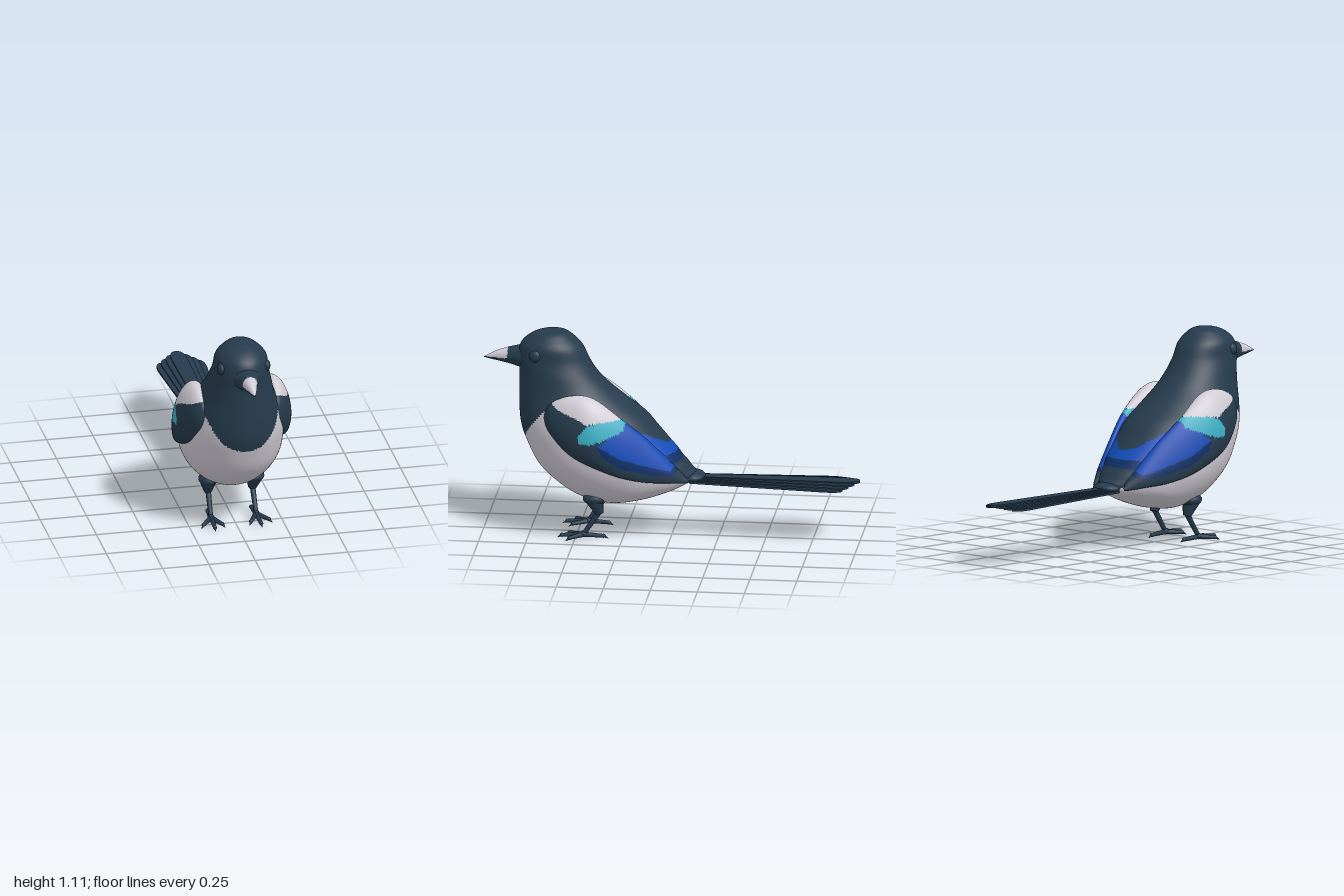
import * as THREE from 'three';

const mat = (name, color, side = THREE.FrontSide) => {
  const m = new THREE.MeshStandardMaterial({ color, side });
  m.name = name;
  return m;
};
const V = (x, y, z) => new THREE.Vector3(x, y, z);

// Smooth skin through elliptical sections [centre, axisA, axisB]
function loft(sections, rings, sides) {
  const tracks = [0, 1, 2].map(k => new THREE.CatmullRomCurve3(sections.map(s => s[k]), false, 'catmullrom', 0.5));
  const pos = [], idx = [];
  for (let i = 0; i <= rings; i++) {
    const [c, a, b] = tracks.map(t => t.getPoint(i / rings));
    for (let j = 0; j < sides; j++) {
      const w = j / sides * Math.PI * 2;
      pos.push(...c.clone().addScaledVector(a, Math.cos(w)).addScaledVector(b, Math.sin(w)).toArray());
    }
  }
  for (let i = 0; i < rings; i++) for (let j = 0; j < sides; j++) {
    const k = (j + 1) % sides, p = i * sides, q = p + sides;
    idx.push(p + j, q + j, q + k, p + j, q + k, p + k);
  }
  // turn the faces outward whichever way the sections run
  let volume = 0;
  const at = n => V(pos[n * 3], pos[n * 3 + 1], pos[n * 3 + 2]);
  for (let f = 0; f < idx.length; f += 3) volume += at(idx[f]).dot(at(idx[f + 1]).cross(at(idx[f + 2])));
  if (volume < 0) for (let f = 0; f < idx.length; f += 3) [idx[f], idx[f + 1]] = [idx[f + 1], idx[f]];
  const g = new THREE.BufferGeometry();
  g.setAttribute('position', new THREE.Float32BufferAttribute(pos, 3));
  g.setIndex(idx);
  g.computeVertexNormals();
  return g;
}

// Sort faces into material groups by the position of their middle
function paint(g, count, rule) {
  const p = g.attributes.position, old = g.index.array, buckets = Array.from({ length: count }, () => []);
  for (let f = 0; f < old.length; f += 3) {
    const m = V(0, 0, 0);
    for (let k = 0; k < 3; k++) m.add(V(0, 0, 0).fromBufferAttribute(p, old[f + k]));
    m.divideScalar(3);
    buckets[rule(m)].push(old[f], old[f + 1], old[f + 2]);
  }
  let start = 0;
  buckets.forEach((b, i) => { g.addGroup(start, b.length, i); start += b.length; });
  g.setIndex(buckets.flat());
  return g;
}

function inside(poly, z, y) {
  let hit = false;
  poly.forEach(([az, ay], i) => {
    const [bz, by] = poly[(i + 1) % poly.length];
    if ((ay > y) !== (by > y) && z < (bz - az) * (y - ay) / (by - ay) + az) hit = !hit;
  });
  return hit;
}

export function createModel() {
  const model = new THREE.Group();
  model.name = 'bird';
  const dark = mat('dark plumage', 0x263b4d), white = mat('white plumage', 0xd0ccd6);
  const blue = mat('bright blue', 0x124cb8), navy = mat('navy blue', 0x0e3068), teal = mat('teal', 0x3bb0c6);
  const paints = [dark, white, blue, navy, teal];
  const add = (name, geo, material, parent = model) => {
    const m = new THREE.Mesh(geo, material);
    m.name = name;
    parent.add(m);
    return m;
  };

  // Body and head: front z,y, back z,y, half width, from crown to rump
  const body = [
    [.63, 1.115, .63, 1.115, .001], [.69, 1.108, .57, 1.108, .055], [.75, 1.085, .53, 1.085, .095],
    [.80, 1.04, .475, 1.03, .135], [.82, .97, .435, .95, .147], [.81, .90, .39, .88, .165],
    [.81, .80, .32, .81, .188], [.81, .70, .22, .73, .225], [.80, .60, .13, .66, .255],
    [.77, .51, .07, .59, .268], [.71, .39, .01, .52, .27], [.61, .29, -.03, .475, .258],
    [.49, .215, -.06, .435, .23], [.34, .178, -.085, .41, .195], [.18, .195, -.105, .385, .15],
    [.03, .24, -.125, .365, .10], [-.07, .285, -.135, .35, .06], [-.14, .325, -.14, .325, .001],
  ].map(([fz, fy, bz, by, w]) => [V(0, (fy + by) / 2, (fz + bz) / 2), V(0, (fy - by) / 2, (fz - bz) / 2), V(w, 0, 0)]);
  add('body', paint(loft(body, 136, 112), 4, ({ x, y, z }) => {
    const x2 = x * x;
    if (z > .5) return y > Math.min(.77, .535 + 2.2 * x2 + 60 * x2 * x2) ? 0 : 1; // bib
    if (y < .33 + (z + .1) * .47) return 1; // belly
    if (z < .01 + 6 * x2 && z > -.03 + 3 * x2) return 2; // rump band
    if (z <= -.03 + 3 * x2 && z > -.06 + 3 * x2) return 3;
    return 0;
  }), paints);

  // Beak with a pale upper tip: z, centre y, half height, half width
  const beak = [
    [.75, .965, .07, .10], [.81, .962, .058, .066], [.86, .963, .046, .043],
    [.92, .96, .03, .027], [.97, .953, .013, .012], [1, .948, .001, .001],
  ].map(([z, y, h, w]) => [V(0, y, z), V(0, h, 0), V(w, 0, 0)]);
  add('beak', paint(loft(beak, 40, 32), 2, ({ y, z }) => (z > .87 && y > .952 ? 1 : 0)), paints);

  // Wing patches outlined in z,y
  const whitePatch = [[.62, .77], [.57, .74], [.48, .71], [.42, .68], [.33, .69], [.25, .67], [.25, .74], [.42, .85], [.62, .85]];
  const tealPatch = [[.47, .62], [.46, .58], [.40, .575], [.32, .60], [.23, .64], [.22, .69], [.32, .695], [.42, .675]];
  const bluePatch = [[.36, .565], [.22, .67], [.14, .65], [.02, .51], [-.03, .42], [-.01, .40], [.08, .43], [.24, .49]];
  const navyPatch = [[.36, .565], [.22, .66], [.02, .50], [-.05, .40], [-.02, .375], [.08, .39], [.24, .44], [.34, .51]];
  const wingRule = ({ y, z }) => {
    if (inside(tealPatch, z, y)) return 4;
    if (inside(whitePatch, z, y)) return 1;
    if (inside(bluePatch, z, y)) return 2;
    return inside(navyPatch, z, y) ? 3 : 0;
  };
  // Wing sections: z, top x,y, bottom x,y, bulge
  const wing = [
    [.665, .19, .69, .192, .67, .002], [.62, .20, .765, .215, .595, .038], [.52, .205, .81, .25, .50, .063],
    [.40, .20, .80, .265, .44, .08], [.25, .205, .695, .262, .385, .047], [.12, .17, .58, .22, .35, .035],
    [0, .13, .45, .17, .335, .028], [-.07, .105, .37, .13, .325, .016], [-.1, .11, .335, .115, .325, .002],
  ];

  // Cone-like limb between two points
  const limb = (name, p, q, r1, r2, parent) => {
    const d = q.clone().sub(p);
    const m = add(name, new THREE.CylinderGeometry(r2, r1, d.length(), 10), dark, parent);
    m.position.copy(p).addScaledVector(d, .5);
    m.quaternion.setFromUnitVectors(V(0, 1, 0), d.normalize());
  };
  const ball = (name, x, y, z, rx, ry, rz, parent) => {
    const m = add(name, new THREE.SphereGeometry(1, 20, 14), dark, parent);
    m.position.set(x, y, z);
    m.scale.set(rx, ry, rz);
  };

  for (const s of [1, -1]) {
    const side = s > 0 ? 'left' : 'right';
    const sections = wing.map(([z, tx, ty, bx, by, t]) => {
      const n = V(ty - by, bx - tx, 0).normalize().multiplyScalar(t);
      return [V(s * (tx + bx) / 2, (ty + by) / 2, z), V(s * (tx - bx) / 2, (ty - by) / 2, 0), V(s * n.x, n.y, 0)];
    });
    add(side + 'Wing', paint(loft(sections, 112, 88), 5, wingRule), paints);
    ball(side + 'Eye', s * .118, .995, .71, .025, .034, .036, model);

    // Leg: feathered thigh, shank and four clawed toes
    const leg = new THREE.Group();
    leg.name = side + 'Leg';
    model.add(leg);
    ball('thighTop', s * .125, .225, .40, .052, .035, .06, leg);
    limb('thigh', V(s * .125, .225, .40), V(s * .12, .14, .37), .05, .022, leg);
    limb('shank', V(s * .12, .15, .372), V(s * .122, .025, .455), .015, .012, leg);
    ball('ankle', s * .122, .024, .455, .018, .017, .02, leg);
    for (const [x, z] of [[.125, .57], [.078, .535], [.176, .525], [.118, .35]]) {
      const root = V(s * .122, .022, .455), end = V(s * x, .016, z);
      const claw = end.clone().add(end.clone().sub(root).setLength(.025)).setY(.003);
      limb('toe', root, end, .014, .01, leg);
      ball('toePad', end.x, end.y, end.z, .011, .011, .011, leg);
      limb('claw', end, claw, .009, .001, leg);
    }
  }

  // Tail: overlapping feathers fanned out under the centre one
  const tail = new THREE.Group();
  tail.name = 'tail';
  model.add(tail);
  ball('tailBase', 0, .33, -.11, .08, .032, .07, tail);
  for (let i = 0; i < 4; i++) for (const s of i ? [1, -1] : [1]) {
    const length = .9 - i * .027, w = .042;
    const shape = new THREE.Shape();
    shape.moveTo(-.03, 0);
    shape.lineTo(-w, length - .1);
    shape.quadraticCurveTo(-w, length, 0, length);
    shape.quadraticCurveTo(w, length, w, length - .1);
    shape.lineTo(.03, 0);
    const g = new THREE.ExtrudeGeometry(shape, { depth: .011, bevelEnabled: false, curveSegments: 8 });
    g.rotateX(-Math.PI / 2);
    const feather = add('tailFeather', g, dark, tail);
    feather.position.set(s * i * .016, .323 - i * .005, -.1);
    feather.rotation.set(-.003 * i, -s * i * .019, 0);
  }
  return model;
}
